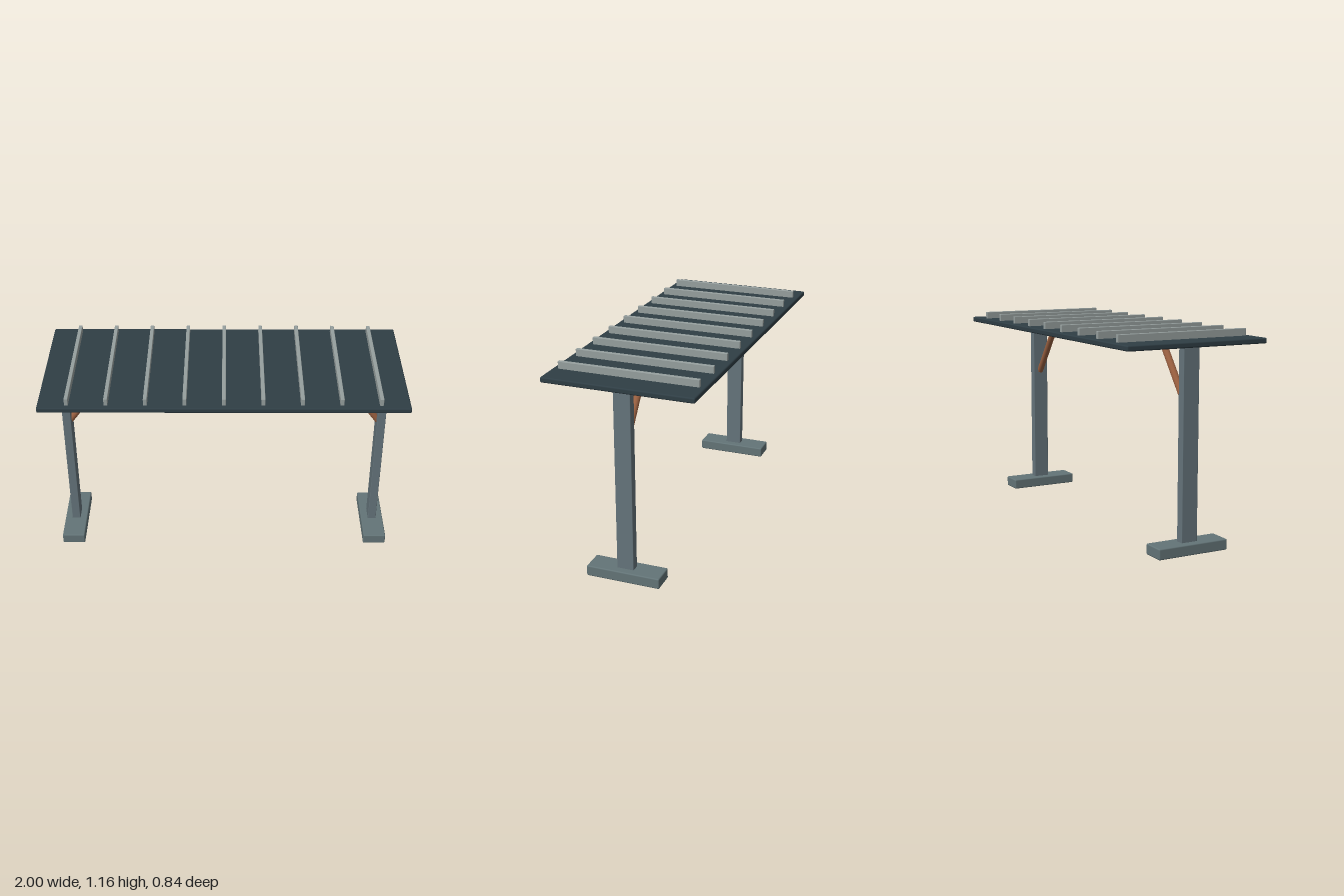
import * as THREE from 'three';
import { RoundedBoxGeometry } from 'three/addons/geometries/RoundedBoxGeometry.js';

const material = (name, color) => {
  const m = new THREE.MeshStandardMaterial({ color });
  m.name = name;
  return m;
};

export function createModel() {
  const model = new THREE.Group();
  model.name = 'canopy';
  const roofSlate = material('dark slate', 0x2f3e45);
  const postSteel = material('grey steel', 0x65747b);
  const footStone = material('grey stone', 0x637477);
  const slatGrey = material('pale grey', 0x969f9e);
  const copper = material('copper brown', 0x9a6040);
  const amber = material('amber', 0xc27a38);

  // Softly bevelled box, placed by its centre in x and its base in y
  const addBox = (name, mat, w, h, d, x, y, bevel) => {
    const geo = bevel ? new RoundedBoxGeometry(w, h, d, 2, bevel) : new THREE.BoxGeometry(w, h, d);
    const mesh = new THREE.Mesh(geo, mat);
    mesh.name = name;
    mesh.position.set(x, y + h / 2, 0);
    model.add(mesh);
  };

  // Round bar between two points
  const addBar = (name, mat, a, b, radius) => {
    const dir = b.clone().sub(a);
    const mesh = new THREE.Mesh(new THREE.CylinderGeometry(radius, radius, dir.length(), 16), mat);
    mesh.name = name;
    mesh.position.copy(a).add(b).multiplyScalar(0.5);
    mesh.quaternion.setFromUnitVectors(new THREE.Vector3(0, 1, 0), dir.normalize());
    model.add(mesh);
  };

  // Roof panel
  addBox('roof', roofSlate, 2, 0.03, 0.84, 0, 1.093, 0.008);

  // Nine slats across the roof
  for (let i = -4; i <= 4; i++) {
    addBox('roofSlat', slatGrey, 0.021, 0.043, 0.78, i * 0.2105, 1.12, 0.003);
  }

  // Foot, post and diagonal brace at each end
  for (const [side, s] of [['left', 1], ['right', -1]]) {
    addBox(side + 'Foot', footStone, 0.132, 0.06, 0.42, s * 0.905, 0, 0.007);
    addBox(side + 'Post', postSteel, 0.048, 1.04, 0.095, s * 0.905, 0.055, 0.003);
    addBar(side + 'Brace', copper,
      new THREE.Vector3(s * 0.89, 0.763, 0), new THREE.Vector3(s * 0.637, 1.1, 0), 0.019);
  }

  // Thin strips under the roof
  for (const x of [-0.632, 0, 0.632]) {
    addBox('ceilingStrip', amber, 0.168, 0.007, 0.036, x, 1.08, 0);
  }
  return model;
}
